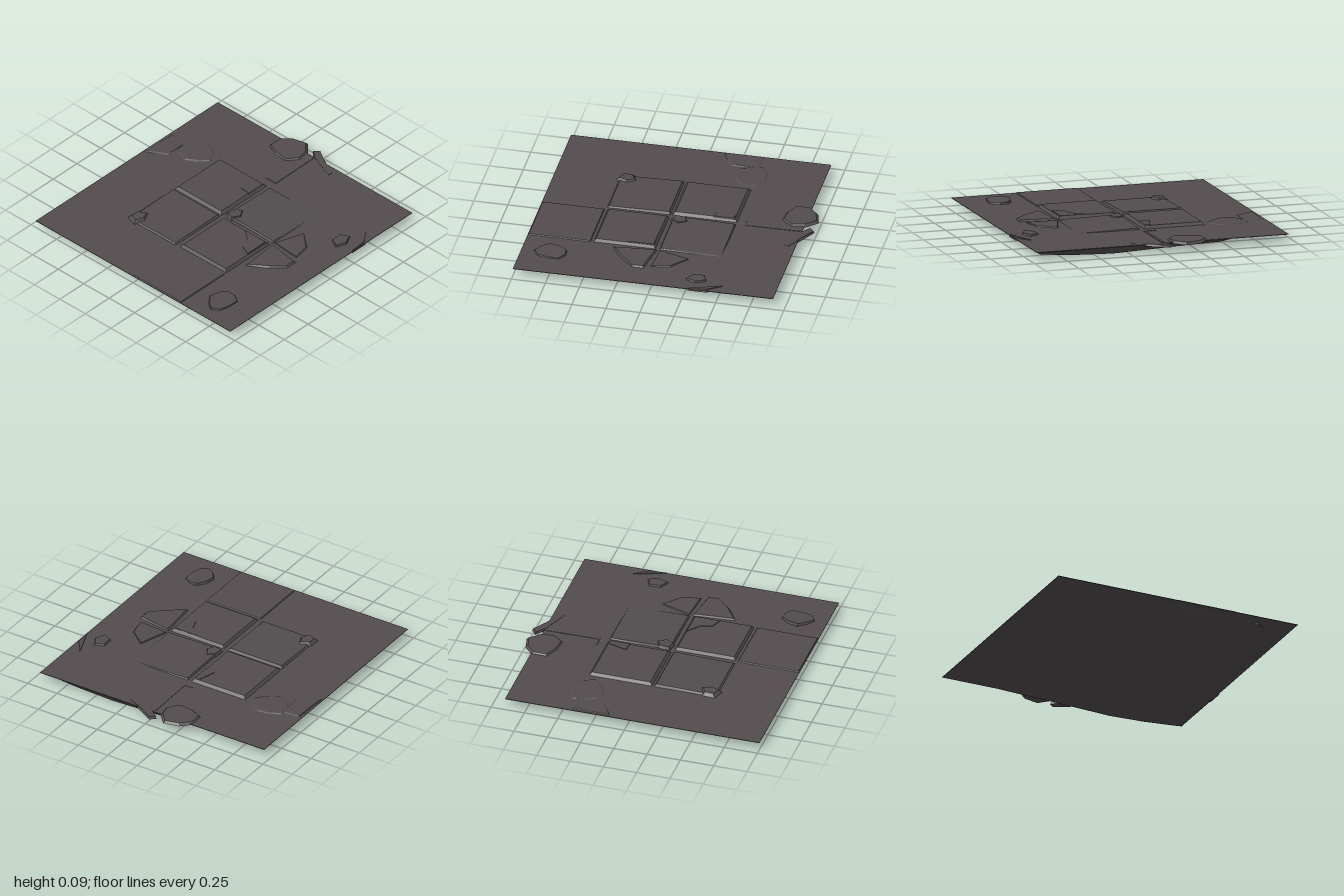
import * as THREE from 'three';

const stone = new THREE.MeshStandardMaterial({ color: 0x524c4e, flatShading: true, side: THREE.DoubleSide });
stone.name = 'dark stone';

const lerp = THREE.MathUtils.lerp;

function mesh(name, positions) {
  const g = new THREE.BufferGeometry();
  g.setAttribute('position', new THREE.Float32BufferAttribute(positions, 3));
  g.computeVertexNormals();
  const m = new THREE.Mesh(g, stone);
  m.name = name;
  return m;
}

// Bevelled slab over an [x, z] outline; top is a height or a function of the corner
function chunk(name, outline, base, top, bevel) {
  const pts = outline.map(([x, z]) => new THREE.Vector2(x, z));
  if (THREE.ShapeUtils.area(pts) < 0) pts.reverse();
  const centre = pts.reduce((a, p) => a.add(p), new THREE.Vector2()).divideScalar(pts.length);
  const low = pts.map((p) => [p.x, base, p.y]);
  const high = pts.map((p) => {
    const q = p.clone().sub(centre);
    q.setLength(Math.max(q.length() - bevel, 0.01)).add(centre);
    return [q.x, typeof top === 'function' ? top(p.x, p.y) : top, q.y];
  });
  const out = [];
  const tri = (...corners) => corners.forEach((p) => out.push(...p));
  pts.forEach((_, i) => {
    const j = (i + 1) % pts.length;
    tri(low[i], high[j], low[j]);
    tri(low[i], high[i], high[j]);
  });
  for (const [a, b, d] of THREE.ShapeUtils.triangulateShape(pts, [])) {
    tri(low[a], low[b], low[d]);
    tri(high[a], high[d], high[b]);
  }
  return mesh(name, out);
}

const rect = (x0, x1, z0, z1) => [[x0, z0], [x1, z0], [x1, z1], [x0, z1]];

// Uneven ring of corners around a centre
const ring = (x, z, rx, rz, sides) => Array.from({ length: sides }, (_, i) => {
  const a = (i / sides) * Math.PI * 2 + 0.3;
  const r = 1 + 0.09 * Math.sin(i * 2.4 + x * 9);
  return [x + Math.cos(a) * rx * r, z + Math.sin(a) * rz * r];
});

// Lumpy underside: deepest below the middle, closing up to the sheet at its rim
function underside() {
  const last = 7;
  const along = (k, rim0, start, end, rim1) =>
    k === 0 ? rim0 : k === last ? rim1 : lerp(start, end, (k - 1) / (last - 2));
  const point = (c, r) => {
    const rim = c === 0 || r === 0 || c === last || r === last;
    const u = (c - 1) / (last - 2);
    const v = (r - 1) / (last - 2);
    const bulge = (0.25 + 0.75 * Math.min(1, u * 1.8)) * (0.35 + 0.65 * Math.sin(Math.PI * v));
    const lumps = 0.8 + 0.2 * Math.cos(2.1 * (c - 4) + 1.3 * (r - 3));
    const y = rim ? 0.057 : 0.045 - 0.0465 * bulge * lumps;
    return [along(c, -0.92, -0.88, 0.87, 0.91), y, along(r, -0.52, -0.46, 0.91, 0.95)];
  };
  const out = [];
  for (let r = 0; r < last; r++) {
    for (let c = 0; c < last; c++) {
      out.push(...point(c, r), ...point(c + 1, r), ...point(c, r + 1));
      out.push(...point(c + 1, r), ...point(c + 1, r + 1), ...point(c, r + 1));
    }
  }
  return mesh('underside', out);
}

export function createModel() {
  const model = new THREE.Group();
  const add = (...args) => model.add(chunk(...args));

  // Thin ground sheet
  const ground = new THREE.Mesh(new THREE.BoxGeometry(1.91, 0.004, 1.905), stone);
  ground.name = 'groundSheet';
  ground.position.set(-0.045, 0.058, 0);
  model.add(ground, underside());

  // Paving tiles, two of them tilted towards an outer corner
  add('frontRightTile', rect(-0.52, -0.06, 0.01, 0.465), 0.056, 0.081, 0.025);
  add('backLeftTile', rect(-0.05, 0.43, -0.485, -0.02), 0.056, 0.081, 0.03);
  add('backRightTile', rect(-0.53, -0.06, -0.485, -0.02), 0.056, (x) => 0.08 + 0.02 * x, 0.02);
  add('frontLeftTile', rect(-0.035, 0.43, 0.005, 0.47), 0.056, (x, z) => 0.078 - 0.018 * (x + z), 0.015);
  add('sideTile', rect(-1, -0.535, 0, 0.47), 0.056, 0.066, 0.012);
  add('jointSliver', [[0.49, -0.09], [0.5, -0.015], [0.91, -0.02], [0.91, 0], [0.49, 0.005]], 0.056, 0.063, 0.004);

  // Rounded broken rocks
  add('cornerRock', ring(-0.47, -0.435, 0.085, 0.08, 5), 0.056, 0.083, 0.03);
  add('backRubble', ring(0.385, -0.67, 0.135, 0.15, 9), 0.056, 0.066, 0.02);
  add('edgeRock', ring(0.857, -0.2, 0.135, 0.15, 8), 0.053, 0.071, 0.018);
  add('sideRock', ring(-0.78, 0.67, 0.13, 0.1, 9), 0.04, (x, z) => 0.073 - 0.06 * (z - 0.67), 0.014);
  add('frontPebble', ring(0.32, 0.805, 0.085, 0.07, 5), 0.045, 0.073, 0.015);
  add('centreChip', ring(0.02, 0.05, 0.075, 0.06, 5), 0.06, 0.083, 0.015);

  // Angular shards
  add('backShard', [[0.12, -0.945], [0.21, -0.78], [0.43, -0.78], [0.42, -0.935]], 0.056, 0.065, 0.02);
  add('edgeShard', [[0.96, -0.07], [0.995, -0.03], [0.93, 0.09], [0.86, 0.22], [0.82, 0.22], [0.9, 0]], 0.045, 0.062, 0.01);
  add('frontRubble', [[-0.37, 0.5], [-0.28, 0.65], [-0.17, 0.755], [-0.08, 0.75], [-0.04, 0.47]], 0.05, 0.072, 0.025);
  add('frontShard', [[-0.03, 0.47], [0.21, 0.55], [0.1, 0.69], [-0.05, 0.715]], 0.05, 0.067, 0.015);
  add('rimRock', [[0.28, 0.95], [0.41, 0.9], [0.53, 0.86], [0.42, 0.95]], 0.045, 0.066, 0.012);
  add('tileChip', [[-0.28, 0.45], [-0.25, 0.36], [-0.15, 0.32], [-0.07, 0.23], [-0.07, 0.45]], 0.06, 0.085, 0.015);
  add('tileShard', [[0.24, -0.03], [0.25, -0.13], [0.42, -0.08], [0.42, -0.03]], 0.06, 0.085, 0.02);

  return model;
}
